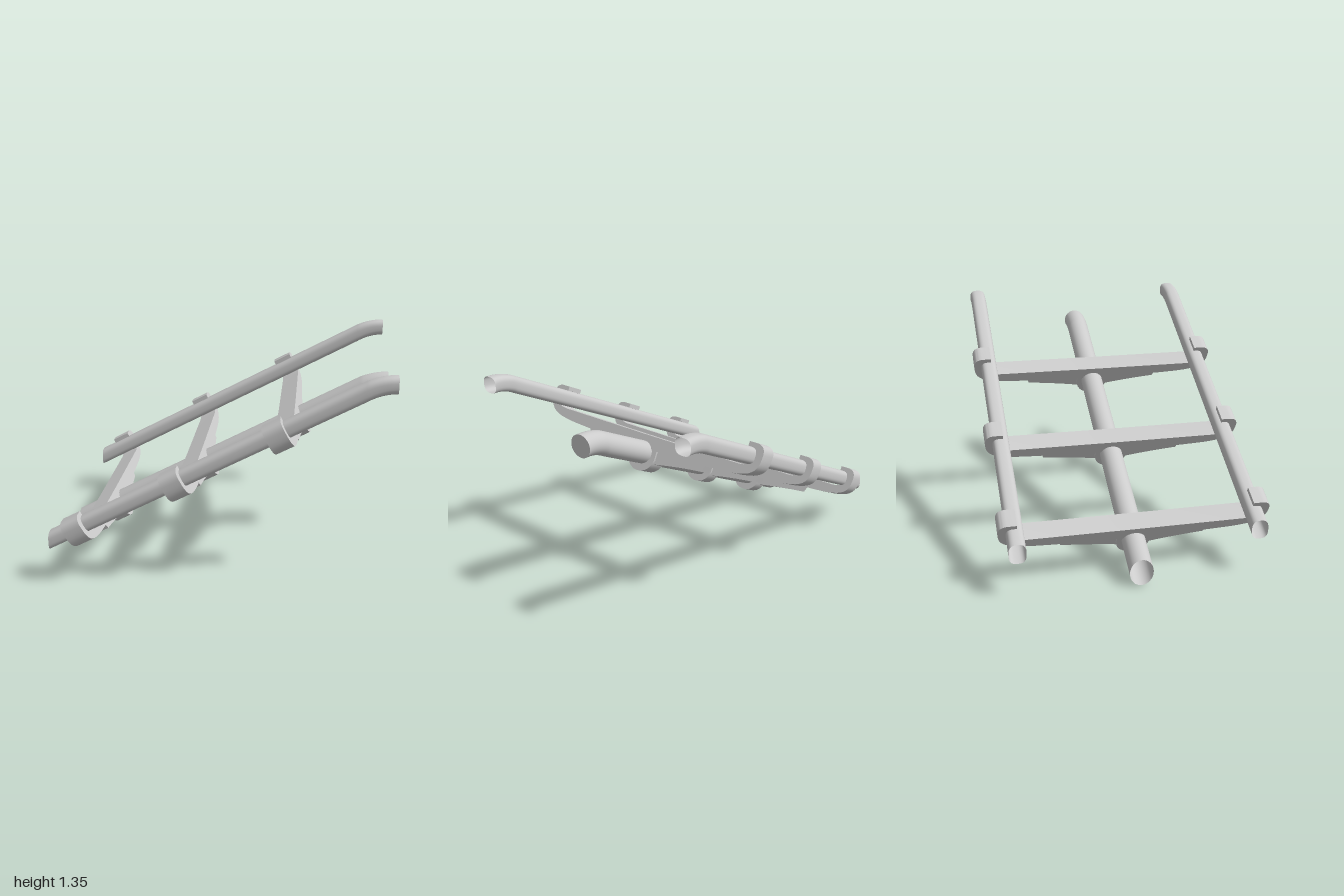
import * as THREE from 'three';
import { toCreasedNormals } from 'three/addons/utils/BufferGeometryUtils.js';

const SLOPE = 0.535, BEND = 0.83;
const ANGLE = Math.atan(SLOPE);
const material = new THREE.MeshStandardMaterial({ color: 0xcccccc, side: THREE.DoubleSide });

// Height gained and local slope along x: straight climb, then easing to level
function climb(x) {
  if (x <= BEND) return { y: SLOPE * (x + 1), s: SLOPE };
  const t = x - BEND, k = SLOPE / (1 - BEND);
  return { y: SLOPE * (BEND + 1 + t) - (k * t * t) / 2, s: SLOPE - k * t };
}

// Open tube with upright cut ends; power 2 is round, higher is squarer
function tube(name, r, y0, z0, power) {
  const xs = [-1, -0.4, 0.2, BEND];
  for (let i = 1; i <= 8; i++) xs.push(BEND + ((1 - BEND) * i) / 8);
  const n = 32, pos = [], idx = [];
  const round = (c) => Math.sign(c) * Math.pow(Math.abs(c), 2 / power);
  xs.forEach((x, i) => {
    const { y, s } = climb(x);
    for (let j = 0; j < n; j++) {
      const a = (j / n) * Math.PI * 2;
      pos.push(x, y0 + y + r * round(Math.cos(a)) * Math.hypot(1, s), z0 + r * round(Math.sin(a)));
      if (i < xs.length - 1) {
        const p = i * n + j, q = i * n + ((j + 1) % n);
        idx.push(p, q, p + n, q, q + n, p + n);
      }
    }
  });
  const geo = new THREE.BufferGeometry();
  geo.setAttribute('position', new THREE.Float32BufferAttribute(pos, 3));
  geo.setIndex(idx);
  geo.computeVertexNormals();
  const mesh = new THREE.Mesh(geo, material);
  mesh.name = name;
  return mesh;
}

// Profile in (z, height), extruded along the rails and centred
function slab(name, shape, width) {
  let geo = new THREE.ExtrudeGeometry(shape, { depth: width, bevelEnabled: false, curveSegments: 10 });
  geo.translate(0, 0, -width / 2);
  geo.rotateY(Math.PI / 2);
  geo = toCreasedNormals(geo, 0.6);
  const mesh = new THREE.Mesh(geo, material);
  mesh.name = name;
  return mesh;
}

// Bowed crossbar whose ends hook up and over the side rails
function crossbarShape() {
  const outer = new THREE.Path();
  outer.moveTo(0.69, 0.077);
  outer.lineTo(0.745, 0.077);
  outer.quadraticCurveTo(0.797, 0.072, 0.797, 0.02);
  outer.bezierCurveTo(0.797, -0.08, 0.76, -0.112, 0.6, -0.127);
  outer.quadraticCurveTo(0.4, -0.142, 0, -0.146);
  const inner = new THREE.Path();
  inner.moveTo(0, -0.064);
  inner.lineTo(0.66, -0.062);
  inner.quadraticCurveTo(0.75, -0.058, 0.75, 0);
  inner.quadraticCurveTo(0.75, 0.047, 0.69, 0.05);
  const o = outer.getPoints(10), i = inner.getPoints(8);
  const half = [...i, ...o];
  const mirror = half.slice(1, -1).reverse().map((p) => new THREE.Vector2(-p.x, p.y));
  return new THREE.Shape([...half, ...mirror]);
}

// Tapered reinforcement beneath the crossbar
function braceShape() {
  const s = new THREE.Shape();
  s.moveTo(-0.45, -0.12);
  s.lineTo(-0.43, -0.175);
  s.quadraticCurveTo(-0.25, -0.193, -0.09, -0.225);
  s.lineTo(0.09, -0.225);
  s.quadraticCurveTo(0.25, -0.193, 0.43, -0.175);
  s.lineTo(0.45, -0.12);
  return s;
}

// Rounded saddle under the central tube
function cradleShape() {
  const s = new THREE.Shape();
  s.moveTo(-0.1, -0.13);
  s.lineTo(-0.1, -0.2);
  s.bezierCurveTo(-0.08, -0.315, 0.08, -0.315, 0.1, -0.2);
  s.lineTo(0.1, -0.13);
  return s;
}

export function createModel() {
  const model = new THREE.Group();
  model.name = 'railFrame';

  model.add(tube('leftRail', 0.05, 0.275, -0.702, 2.8));
  model.add(tube('rightRail', 0.05, 0.275, 0.702, 2.8));
  model.add(tube('centralTube', 0.07, 0.08, 0, 2));

  const cap = new THREE.Mesh(new THREE.CircleGeometry(0.07, 32).rotateY(Math.PI / 2), material);
  cap.name = 'centralTubeCap';
  cap.position.set(1, 0.08 + climb(1).y, 0);
  model.add(cap);

  // Three evenly spaced brackets, square to the slope
  for (let i = 0; i < 3; i++) {
    const x = -0.83 + 0.59 * i;
    const bracket = new THREE.Group();
    bracket.name = 'bracket' + (i + 1);
    bracket.add(slab('crossbar', crossbarShape(), 0.118));
    bracket.add(slab('brace', braceShape(), 0.08));
    bracket.add(slab('cradle', cradleShape(), 0.108));
    bracket.position.set(x, 0.275 + climb(x).y, 0);
    bracket.rotation.z = ANGLE;
    model.add(bracket);
  }
  return model;
}
